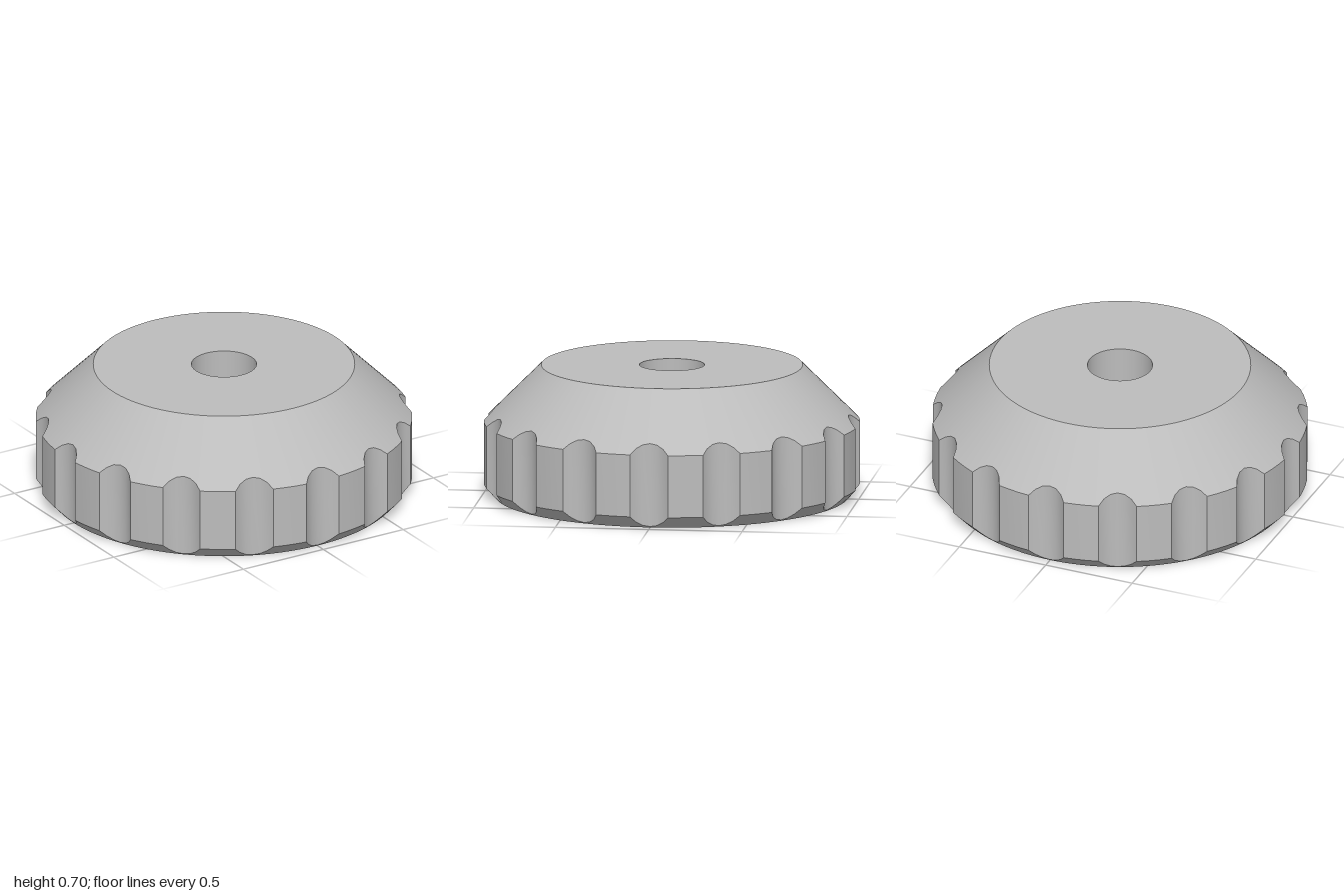
import * as THREE from 'three';
import { toCreasedNormals } from 'three/addons/utils/BufferGeometryUtils.js';

const FLUTES = 16;
const FLUTE_CENTRE = 1.075; // distance of each flute's axis from the knob's axis
const FLUTE_RADIUS = 0.1295;
const FLUTE_STEPS = 6, LAND_STEPS = 3;

// Plan outline of the grip: [angle from +z, radius], one flute and one land per period
function gripOutline() {
  const c = FLUTE_CENTRE, r = FLUTE_RADIUS, period = (Math.PI * 2) / FLUTES;
  const half = Math.acos((c * c + 1 - r * r) / (2 * c));
  const sweep = Math.asin(Math.sin(half) / r);
  const points = [];
  for (let i = 0; i < FLUTES; i++) {
    for (let k = 0; k <= FLUTE_STEPS; k++) {
      const phi = sweep * ((2 * k) / FLUTE_STEPS - 1);
      const a = c - r * Math.cos(phi), b = r * Math.sin(phi);
      points.push([i * period + Math.atan2(b, a), Math.hypot(a, b)]);
    }
    for (let k = 1; k < LAND_STEPS; k++) {
      points.push([i * period + half + ((period - 2 * half) * k) / LAND_STEPS, 1]);
    }
  }
  return points;
}

// Sweep a profile of [radius, y] points, which may depend on the grip radius, round the axis
function sweepProfile(outline, profileAt) {
  const position = [], index = [];
  const rows = profileAt(1).length, count = outline.length;
  for (const [angle, grip] of outline) {
    for (const [r, y] of profileAt(grip)) position.push(r * Math.sin(angle), y, r * Math.cos(angle));
  }
  for (let i = 0; i < count; i++) {
    for (let j = 0; j < rows - 1; j++) {
      const a = i * rows + j, d = ((i + 1) % count) * rows + j;
      index.push(a, a + 1, d + 1, a, d + 1, d);
    }
  }
  const geometry = new THREE.BufferGeometry();
  geometry.setAttribute('position', new THREE.Float32BufferAttribute(position, 3));
  geometry.setIndex(index);
  return toCreasedNormals(geometry, 0.5);
}

export function createModel() {
  const group = new THREE.Group();
  const grey = new THREE.MeshStandardMaterial({ color: 0xbcbcbc });
  grey.name = 'plain grey';
  const outline = gripOutline();

  const add = (name, profileAt) => {
    const mesh = new THREE.Mesh(sweepProfile(outline, profileAt), grey);
    mesh.name = name;
    group.add(mesh);
  };

  // Flat top, 45 degree shoulder, fluted grip, bottom chamfer and flat base
  add('knobBody', (grip) => [
    [0.173, 0.705],
    [0.695, 0.705],
    [grip, 0.4 + (1 - grip)],
    [grip, ((grip - 0.94) / 0.06) * 0.065],
    [0.94, 0],
    [0.27, 0],
  ]);

  // Through hole, wider in its lower part
  add('steppedBore', () => [
    [0.27, 0],
    [0.27, 0.4],
    [0.173, 0.4],
    [0.173, 0.705],
  ]);

  return group;
}
